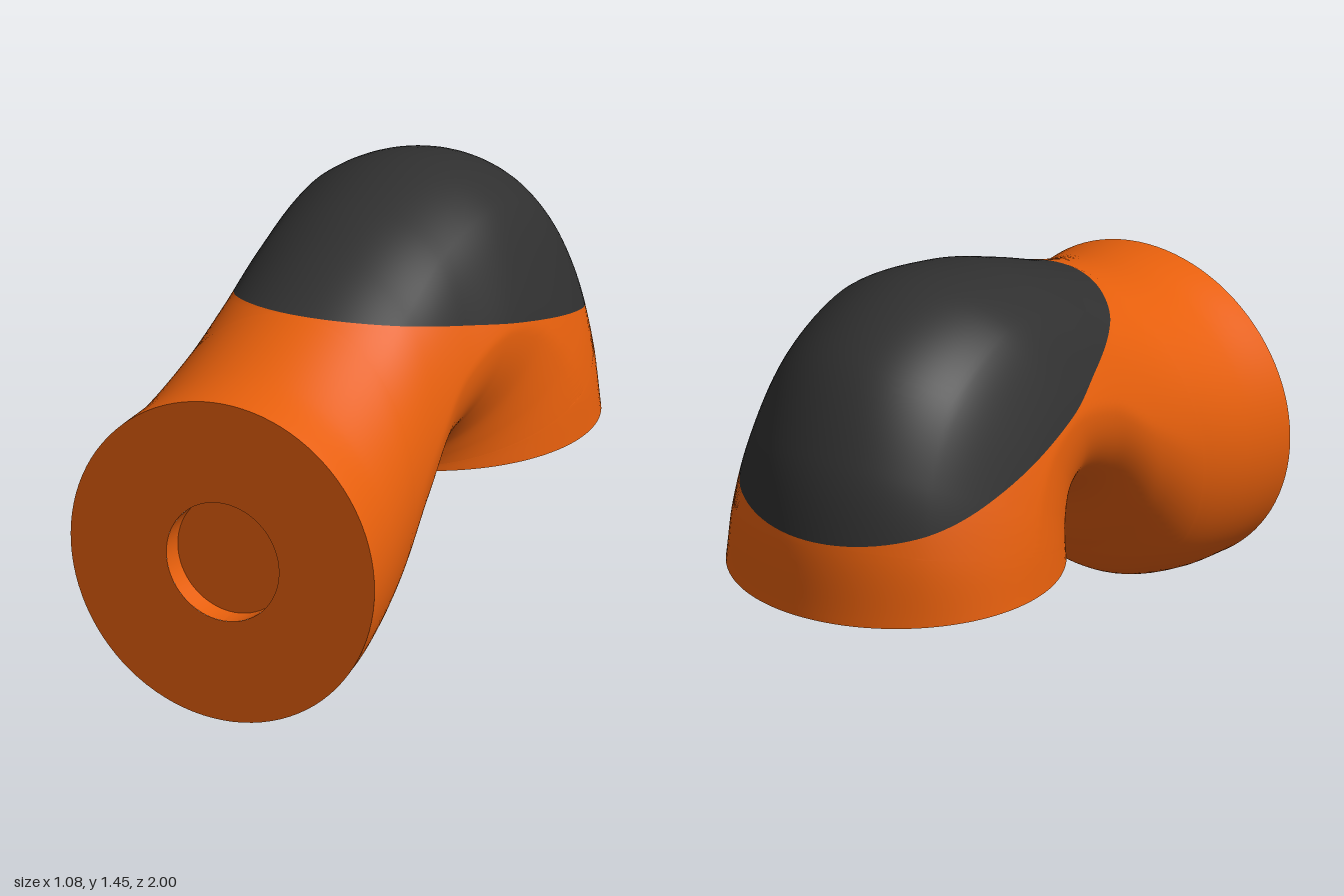
import * as THREE from 'three';
import { mergeVertices } from 'three/addons/utils/BufferGeometryUtils.js';

// Stations along the elbow: top z, top y, bottom z, bottom y, half width
const STATIONS = [
  [1, 1.08, 1, 0, 0.54],
  [0.8, 1.105, 0.86, 0.01, 0.51],
  [0.5, 1.205, 0.68, 0.07, 0.475],
  [0.25, 1.31, 0.5, 0.25, 0.45],
  [0, 1.4, 0.3, 0.49, 0.44],
  [-0.36, 1.45, 0.14, 0.583, 0.465],
  [-0.7, 1.32, 0.105, 0.575, 0.487],
  [-0.9, 1.06, 0.09, 0.56, 0.512],
  [-0.98, 0.805, 0.082, 0.55, 0.53],
  [-1, 0.545, 0.08, 0.545, 0.54],
];
const topCurve = new THREE.CatmullRomCurve3(STATIONS.map(([z, y]) => new THREE.Vector3(0, y, z)));
const bottomCurve = new THREE.CatmullRomCurve3(STATIONS.map((s) => new THREE.Vector3(0, s[3], s[2])));
const widthCurve = new THREE.CatmullRomCurve3(STATIONS.map((s, i) => new THREE.Vector3(s[4], i / 9, 0)));

// Point on the skin: t runs from the front flange to the lower flange, phi around from the top
function skin(t, phi) {
  const top = topCurve.getPoint(t), bottom = bottomCurve.getPoint(t);
  const p = bottom.clone().lerp(top, 0.5 + 0.5 * Math.cos(phi));
  // flattened shoulder below a soft crease in the middle of the bend
  const around = Math.abs(Math.atan2(Math.sin(phi), Math.cos(phi)));
  const u = THREE.MathUtils.clamp((around - 0.72) / 0.85, 0, 1);
  const bend = Math.sin(Math.PI * THREE.MathUtils.clamp((t - 0.2) / 0.8, 0, 1));
  p.x = widthCurve.getPoint(t).x * Math.sin(phi) * (1 - 0.055 * bend * Math.sin(Math.PI * u));
  return p;
}

// Height above the sloping seam plane of the cover
const aboveSeam = (p) => p.y - (1.205 + 0.27 * (p.z - 0.5));

function bisect(inside, outside, f) {
  for (let i = 0; i < 40; i++) {
    const mid = (inside + outside) / 2;
    if (f(mid) > 0) inside = mid;
    else outside = mid;
  }
  return (inside + outside) / 2;
}

// Skin grid between two angles for every station
function loft(ts, range, columns) {
  const positions = [], index = [];
  ts.forEach((t, i) => {
    const [from, to] = range(t);
    for (let j = 0; j <= columns; j++) {
      positions.push(...skin(t, from + ((to - from) * j) / columns).toArray());
      if (i === ts.length - 1 || j === columns) continue;
      const a = i * (columns + 1) + j, c = a + columns + 1;
      index.push(a, a + 1, c, a + 1, c + 1, c);
    }
  });
  let geometry = new THREE.BufferGeometry();
  geometry.setAttribute('position', new THREE.Float32BufferAttribute(positions, 3));
  geometry.setIndex(index);
  geometry = mergeVertices(geometry, 1e-5);
  geometry.computeVertexNormals();
  return geometry;
}

export function createModel() {
  const group = new THREE.Group();
  const orange = new THREE.MeshStandardMaterial({ color: 0xe65f0c });
  orange.name = 'orange';
  const charcoal = new THREE.MeshStandardMaterial({ color: 0x303030 });
  charcoal.name = 'charcoal';
  const add = (name, geometry, material) => {
    const mesh = new THREE.Mesh(geometry, material);
    mesh.name = name;
    group.add(mesh);
    return mesh;
  };

  // Where the cover starts and ends along the bend
  const topSide = (t) => aboveSeam(skin(t, 0));
  const start = bisect(0.5, 0, topSide), end = bisect(0.5, 1, topSide);
  const seam = (t) => (t <= start + 1e-6 || t >= end - 1e-6
    ? 0 : bisect(0, Math.PI, (phi) => aboveSeam(skin(t, phi))));

  const coverTs = [], frontTs = [], backTs = [];
  for (let i = 0; i <= 80; i++) {
    coverTs.push(start + (end - start) * (0.5 - 0.5 * Math.cos((Math.PI * i) / 80)));
  }
  for (let i = 0; i < 20; i++) frontTs.push((start * i) / 20);
  for (let i = 1; i <= 12; i++) backTs.push(end + ((1 - end) * i) / 12);

  // Bent housing and its dark cover
  add('elbowHousing', loft([...frontTs, ...coverTs, ...backTs],
    (t) => [seam(t), 2 * Math.PI - seam(t)], 96), orange);
  add('cover', loft(coverTs, (t) => [-seam(t), seam(t)], 72), charcoal);

  // Front flange with a round socket
  add('frontFlange', new THREE.RingGeometry(0.2, 0.54, 96), orange).position.set(0, 0.54, 1);
  const wallShape = new THREE.CylinderGeometry(0.2, 0.2, 0.08, 64, 1, true);
  wallShape.scale(-1, 1, 1);
  const wallIndex = wallShape.index.array;
  // mirrored tube faces inward once its corners are kept in order
  wallShape.rotateX(Math.PI / 2);
  wallShape.setIndex(Array.from(wallIndex));
  wallShape.computeVertexNormals();
  add('socketWall', wallShape, orange).position.set(0, 0.54, 0.96);
  add('socketFloor', new THREE.CircleGeometry(0.2, 64), orange).position.set(0, 0.54, 0.92);

  // Lower flange with a round spigot
  const lower = add('lowerFlange', new THREE.CircleGeometry(0.54, 96), orange);
  lower.rotation.x = Math.PI / 2;
  lower.position.set(0, 0.545, -0.46);
  add('spigot', new THREE.CylinderGeometry(0.197, 0.197, 0.09, 64), orange).position.set(0, 0.505, -0.455);

  return group;
}
